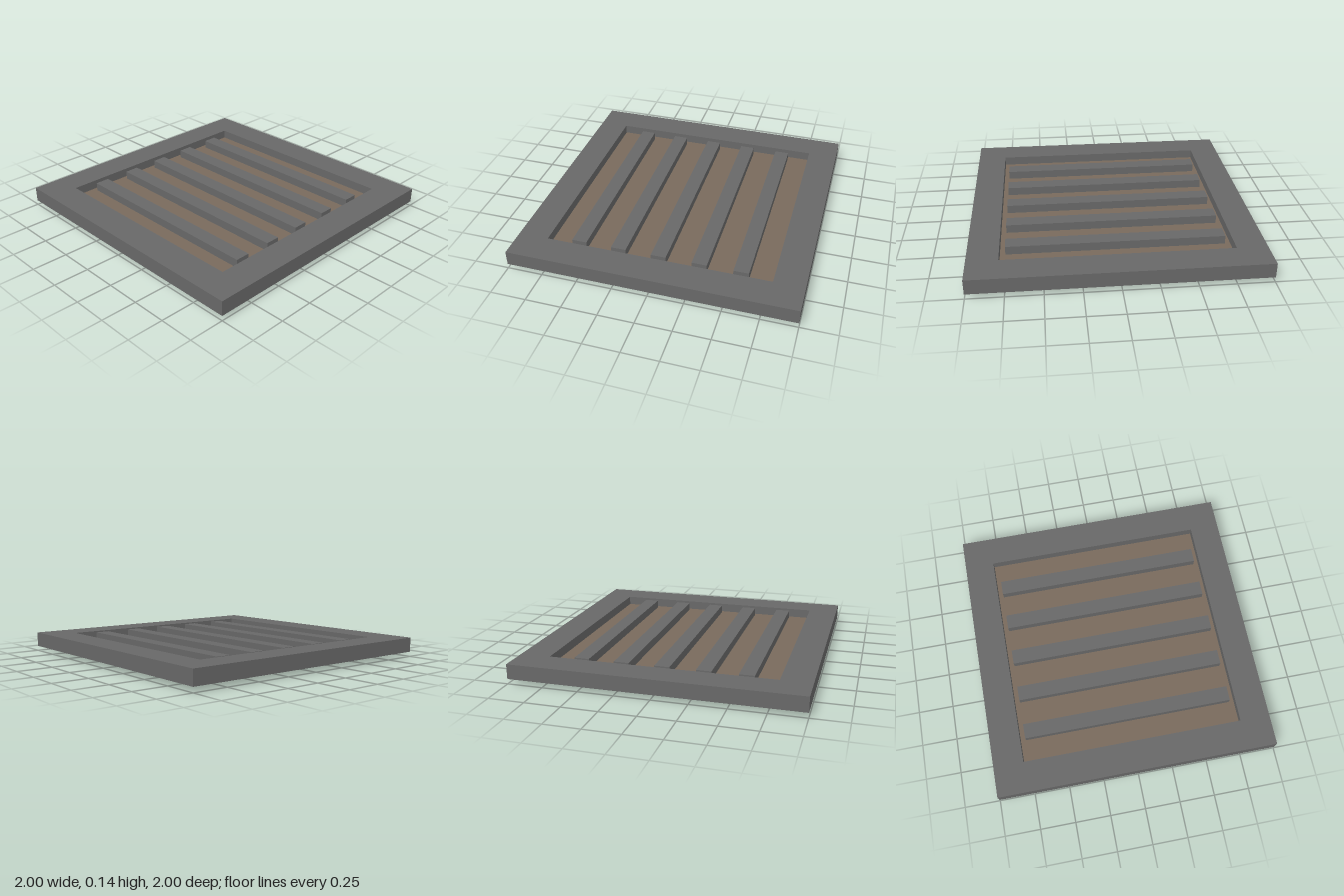
import * as THREE from 'three';

export function createModel() {
  const model = new THREE.Group();
  model.name = 'slattedGrate';

  const grey = new THREE.MeshStandardMaterial({ color: 0x686868 });
  grey.name = 'dark grey';
  const brown = new THREE.MeshStandardMaterial({ color: 0x786a5c });
  brown.name = 'dull brown';

  const box = (name, material, width, depth, bottom, top, x = 0) => {
    const mesh = new THREE.Mesh(new THREE.BoxGeometry(width, top - bottom, depth), material);
    mesh.name = name;
    mesh.position.set(x, (bottom + top) / 2, 0);
    model.add(mesh);
  };

  // Square frame with a square opening
  const square = (path, r) =>
    path.moveTo(-r, -r).lineTo(r, -r).lineTo(r, r).lineTo(-r, r).closePath();
  const outline = square(new THREE.Shape(), 1);
  outline.holes.push(square(new THREE.Path(), 0.787));
  const frameGeometry = new THREE.ExtrudeGeometry(outline, { depth: 0.105, bevelEnabled: false });
  frameGeometry.rotateX(-Math.PI / 2);
  const frame = new THREE.Mesh(frameGeometry, grey);
  frame.name = 'frame';
  frame.position.y = 0.035;
  model.add(frame);

  // Panel set in the opening, standing proud below the frame
  box('backPanel', brown, 1.574, 1.574, 0, 0.075);

  // Five parallel slats on the panel
  for (let i = -2; i <= 2; i++) {
    box('slat', grey, 0.105, 1.5, 0.075, 0.135, i * 0.285);
  }

  return model;
}
